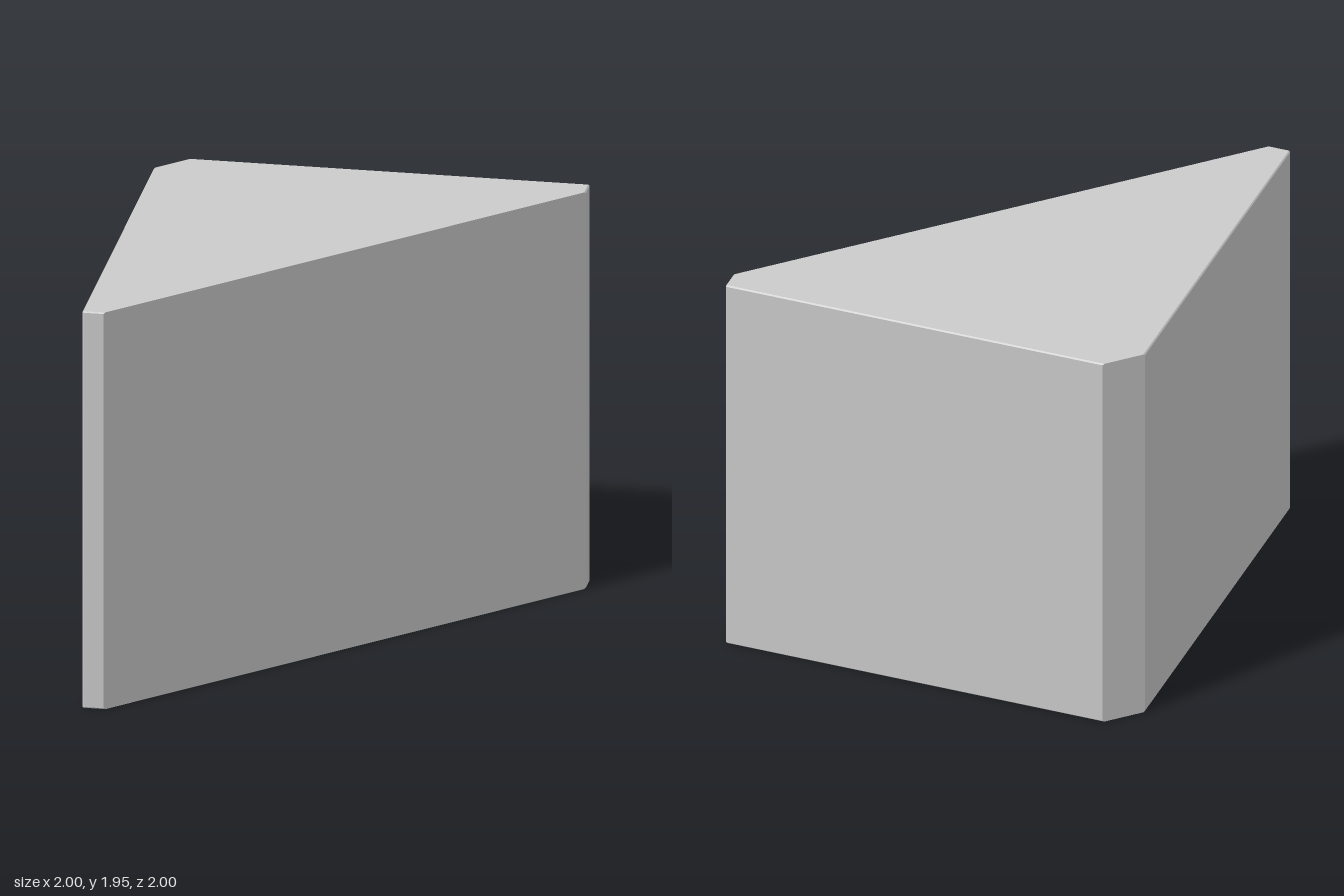
import * as THREE from 'three';
import { ConvexGeometry } from 'three/addons/geometries/ConvexGeometry.js';

const HEIGHT = 1.945;
const BEVEL = 0.006; // fine bevel on the square edges
const FRONT = 0.1;   // diagonal front lies on x + z = FRONT
const BACK = -1.85;  // back corner cut lies on x + z = BACK

// Five-sided footprint plus one bevelled end, mirrored across x = z
function outline(half, bevel) {
  const side = [
    [-half, BACK + half],
    [-half, half - bevel],
    [-half + bevel, half],
    [FRONT - half, half],
  ];
  return [...side, ...side.map(([x, z]) => [z, x])];
}

export function createModel() {
  const group = new THREE.Group();
  group.name = 'cornerBlock';

  // Full-size outline on the walls, slightly inset outline on top and bottom
  const points = [];
  const addRing = (ring, y) => ring.forEach(([x, z]) => points.push(new THREE.Vector3(x, y, z)));
  const wall = outline(1, BEVEL);
  const cap = outline(1 - BEVEL, 0);
  addRing(cap, 0);
  addRing(wall, BEVEL);
  addRing(wall, HEIGHT - BEVEL);
  addRing(cap, HEIGHT);

  const body = new THREE.Mesh(
    new ConvexGeometry(points),
    new THREE.MeshStandardMaterial({ color: 0xcccccc, flatShading: true })
  );
  body.name = 'body';
  group.add(body);
  return group;
}
